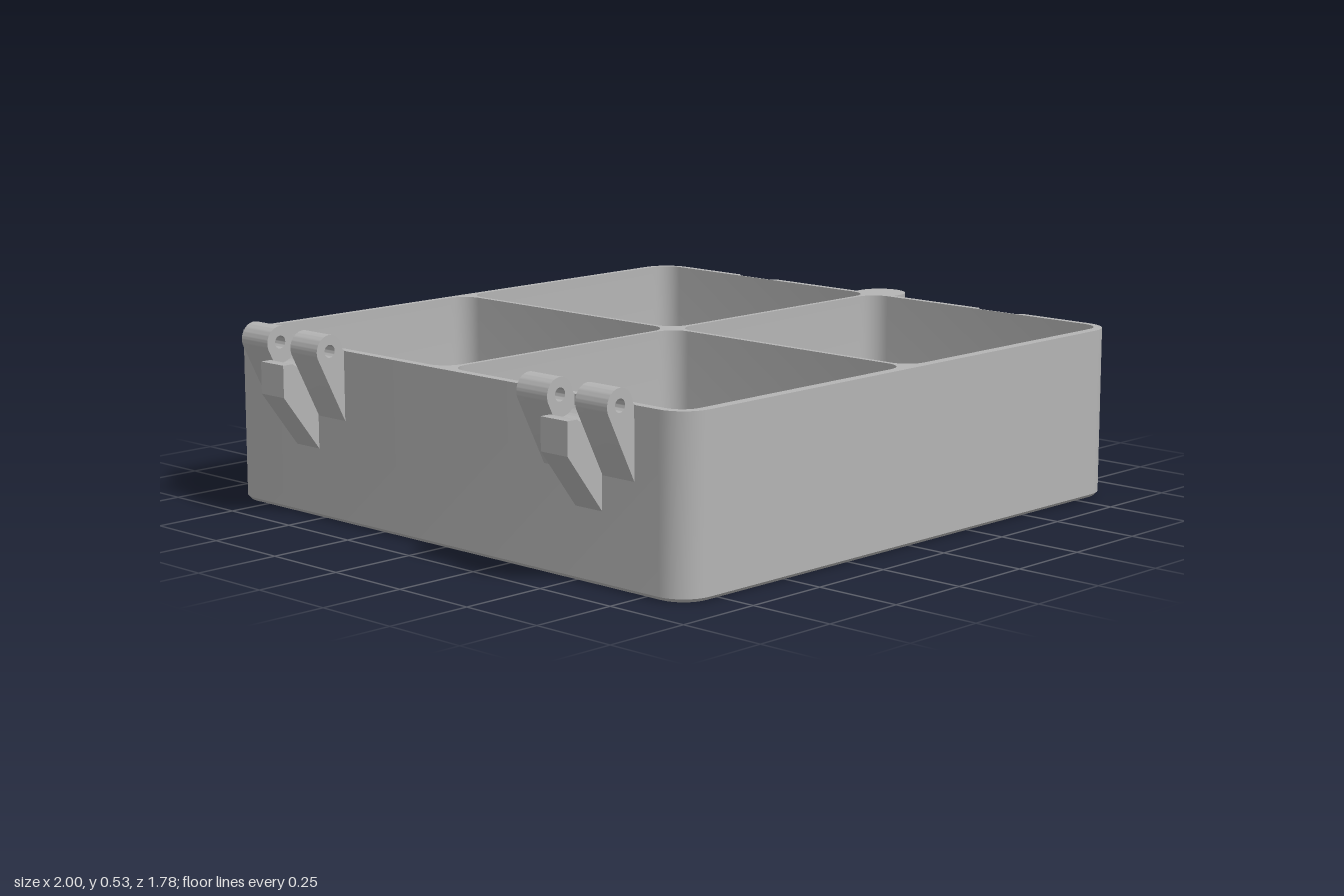
import * as THREE from 'three';
import { toCreasedNormals } from 'three/addons/utils/BufferGeometryUtils.js';

const X0 = -0.88, X1 = 0.9, Z = 0.89, TOP = 0.485, R = 0.09, FLOOR = 0.025;
const CAVITIES = [
  [-0.855, 0.0, -0.87, -0.01], [0.015, 0.88, -0.87, -0.01],
  [-0.855, 0.0, 0.005, 0.86], [0.015, 0.88, 0.005, 0.86],
];

// Rounded rectangle as [x, z] points, starting and ending on the +x side
function roundRect(x0, x1, z0, z1, r, n = 8) {
  const pts = [];
  [[x1 - r, z1 - r], [x0 + r, z1 - r], [x0 + r, z0 + r], [x1 - r, z0 + r]].forEach(([cx, cz], k) => {
    for (let i = 0; i <= n; i++) {
      const a = (k + i / n) * Math.PI / 2;
      pts.push([cx + r * Math.cos(a), cz + r * Math.sin(a)]);
    }
  });
  return pts;
}
const atHeight = (pts, y) => pts.map(([x, z]) => [x, y, z]);

// Skin through rings with equal point counts
function loft(rings, closed = true) {
  const n = rings[0].length, idx = [];
  for (let j = 0; j < rings.length - 1; j++) {
    for (let i = 0; i < (closed ? n : n - 1); i++) {
      const a = j * n + i, b = j * n + (i + 1) % n;
      idx.push(a, a + n, b, b, a + n, b + n);
    }
  }
  const g = new THREE.BufferGeometry();
  g.setAttribute('position', new THREE.Float32BufferAttribute(rings.flat(2), 3));
  g.setIndex(idx);
  return toCreasedNormals(g, 0.6);
}

const extrude = (shape, depth) =>
  new THREE.ExtrudeGeometry(shape, { depth, bevelEnabled: false, curveSegments: 20 });

// Upright extrusion: shape is drawn as (x, -z)
const upright = (shape, y0, y1) => extrude(shape, y1 - y0).rotateX(-Math.PI / 2).translate(0, y0, 0);

function circleHole(shape, x, y, r) {
  shape.holes.push(new THREE.Path().absarc(x, y, r, 0, Math.PI * 2, true));
  return shape;
}

export function createModel() {
  const group = new THREE.Group();
  const grey = new THREE.MeshStandardMaterial({ color: 0xb4b4b4 });
  grey.name = 'grey plastic';
  const add = (name, geometry, parent = group) => {
    const mesh = new THREE.Mesh(geometry, grey);
    mesh.name = name;
    parent.add(mesh);
    return mesh;
  };

  // Tray outside: chamfered base and walls, the right side left open for its notched wall
  const outline = roundRect(X0, X1, -Z, Z, R);
  const foot = roundRect(X0 + 0.01, X1 - 0.01, -Z + 0.01, Z - 0.01, R - 0.01);
  const middle = outline.map(() => [0.01, 0, 0]);
  add('base', loft([middle, atHeight(foot, 0), atHeight(outline, 0.01)]));
  add('outerWalls', loft([atHeight(outline, 0.01), atHeight(outline, TOP)], false));

  // Right wall with two finger notches
  const NR = 0.109, NA = 0.746, NC = TOP + 0.074;
  const wall = new THREE.Shape();
  wall.moveTo(-Z + R, 0.01).lineTo(Z - R, 0.01).lineTo(Z - R, TOP);
  for (const c of [0.48, -0.48]) {
    wall.lineTo(c + 0.08, TOP);
    wall.absarc(c, NC, NR, -NA, -Math.PI + NA, true);
  }
  wall.lineTo(-Z + R, TOP);
  add('rightWall', new THREE.ShapeGeometry(wall, 20).rotateY(Math.PI / 2).translate(X1, 0, 0));
  for (const c of [-0.48, 0.48]) {
    const outer = [], inner = [], rim = [];
    for (let i = 0; i <= 16; i++) {
      const t = i / 8 - 1;
      const dip = Math.sqrt(NR * NR - 0.0064 * t * t) - 0.074;
      outer.push([X1, TOP - dip, c + 0.08 * t]);
      inner.push([0.884, TOP - dip * 0.9, c + 0.065 * t]);
      rim.push([0.884, TOP, c + 0.065 * t]);
    }
    add('fingerNotch', loft([outer, inner, rim], false));
  }

  // Top rim around the four compartments
  const edge = [...outline];
  for (const c of [-0.48, 0.48]) {
    edge.push([X1, c - 0.08], [0.884, c - 0.065], [0.884, c + 0.065], [X1, c + 0.08]);
  }
  const flat = (pts) => pts.map(([x, z]) => new THREE.Vector2(x, -z));
  const rimShape = new THREE.Shape(flat(edge));
  for (const c of CAVITIES) rimShape.holes.push(new THREE.Path(flat(roundRect(...c, 0.06))));
  add('topRim', new THREE.ShapeGeometry(rimShape).rotateX(-Math.PI / 2).translate(0, TOP, 0));

  // Compartments with filleted floors
  for (const [x0, x1, z0, z1] of CAVITIES) {
    const F = 0.05, rings = [atHeight(roundRect(x0, x1, z0, z1, 0.06), TOP)];
    for (let i = 0; i <= 6; i++) {
      const a = i / 6 * Math.PI / 2, d = F * (1 - Math.cos(a));
      rings.push(atHeight(roundRect(x0 + d, x1 - d, z0 + d, z1 - d, 0.06 - d), FLOOR + F * (1 - Math.sin(a))));
    }
    rings.push(rings[0].map(() => [(x0 + x1) / 2, FLOOR, (z0 + z1) / 2]));
    add('compartment', loft(rings));
  }

  // Hinges: two bored knuckles either side of a stop block
  const HX = -0.93, HY = 0.49;
  const knuckle = new THREE.Shape();
  knuckle.moveTo(-0.875, 0.28).lineTo(-0.875, TOP).lineTo(HX + 0.045, HY);
  knuckle.absarc(HX, HY, 0.045, 0, Math.PI + 0.45, false);
  circleHole(knuckle, HX, HY, 0.018);
  const stop = new THREE.Shape();
  stop.moveTo(-1, 0.445).lineTo(-1, 0.355).lineTo(-0.875, 0.19).lineTo(-0.875, 0.455);
  stop.absarc(HX, HY, 0.058, -0.6, -Math.PI + 0.89, true);
  for (const side of [-1, 1]) {
    const hinge = new THREE.Group();
    hinge.name = 'hinge';
    hinge.position.z = side * 0.555;
    group.add(hinge);
    for (const z of [-0.162, 0.05]) {
      add('hingeKnuckle', toCreasedNormals(extrude(knuckle, 0.112).translate(0, 0, z), 0.6), hinge);
    }
    add('hingeStop', toCreasedNormals(extrude(stop, 0.096).translate(0, 0, -0.048), 0.6), hinge);
  }

  // Latch post: slanted solid foot, windowed middle and bored top
  const LX = 0.925, LR = 0.075, BORE = 0.042, H = Math.PI / 2;
  const post = () => {
    const s = new THREE.Shape();
    s.moveTo(0.89, LR).lineTo(0.89, -LR).lineTo(LX, -LR);
    s.absarc(LX, 0, LR, -H, H, false);
    return s;
  };
  const footGeo = upright(post(), 0.07, 0.3);
  const p = footGeo.attributes.position;
  for (let i = 0; i < p.count; i++) {
    if (p.getY(i) < 0.1) p.setY(i, 0.07 + Math.max(0, p.getX(i) - 0.9) * 0.95);
  }
  const windowed = new THREE.Shape();
  windowed.absarc(LX, 0, LR, 0.927, H, false);
  windowed.lineTo(0.89, LR).lineTo(0.89, -LR);
  windowed.absarc(LX, 0, LR, -H, -0.41, false);
  windowed.absarc(LX, 0, BORE, -0.796, 1.3, true);
  const latch = new THREE.Group();
  latch.name = 'latchPost';
  group.add(latch);
  add('latchFoot', toCreasedNormals(footGeo, 0.6), latch);
  add('latchWindow', toCreasedNormals(upright(windowed, 0.3, 0.43), 0.6), latch);
  add('latchTop', toCreasedNormals(upright(circleHole(post(), LX, 0, BORE), 0.43, TOP), 0.6), latch);
  add('latchPin', new THREE.BoxGeometry(0.025, 0.02, 0.045).translate(0.965, 0.36, -0.038), latch);

  return group;
}
